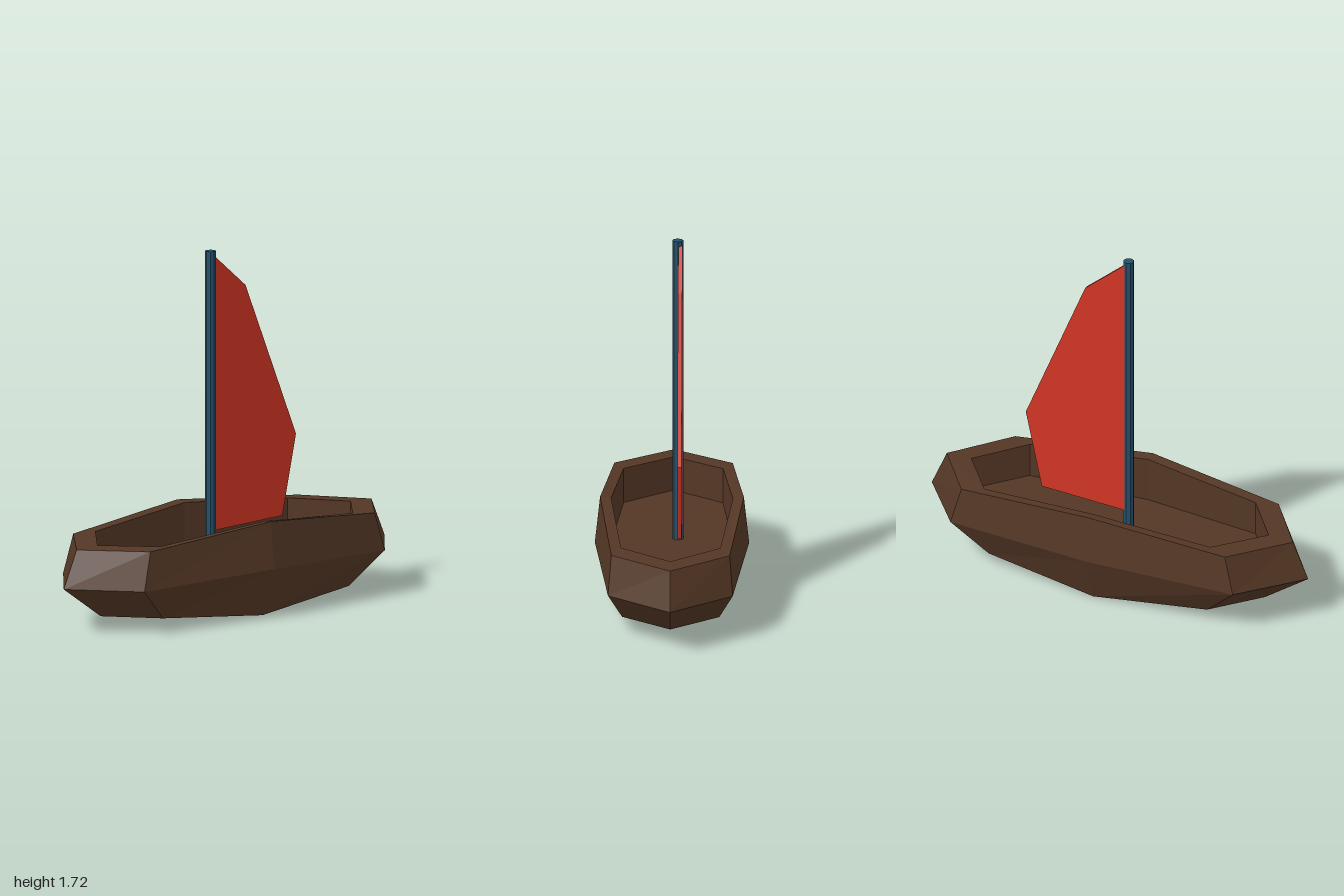
import * as THREE from 'three';

const wood = new THREE.MeshStandardMaterial({ name: 'brown wood', color: 0x543725, flatShading: true });
const cloth = new THREE.MeshStandardMaterial({ name: 'red cloth', color: 0xd03524, flatShading: true });
const pole = new THREE.MeshStandardMaterial({ name: 'blue paint', color: 0x22506b, flatShading: true });

// Eight-point boat outline, mirrored from a tip, a shoulder and a midship point
function ring([tx, ty], [cx, cy, cz], [my, mz]) {
  return [
    [tx, ty, 0], [cx, cy, cz], [0, my, mz], [-cx, cy, cz],
    [-tx, ty, 0], [-cx, cy, -cz], [0, my, -mz], [cx, cy, -cz],
  ];
}

function hullGeometry() {
  const rings = [
    ring([0.77, 0.06], [0.58, 0.06, 0.23], [0.005, 0.28]),    // keel
    ring([1.0, 0.22], [0.75, 0.22, 0.295], [0.24, 0.365]),    // widest line
    ring([0.92, 0.40], [0.70, 0.405, 0.28], [0.467, 0.34]),   // outer rim
    ring([0.79, 0.405], [0.60, 0.41, 0.235], [0.46, 0.288]),  // inner rim
    ring([0.79, 0.24], [0.60, 0.24, 0.235], [0.24, 0.288]),   // floor
  ];
  const pos = [];
  const tri = (a, b, c) => pos.push(...a, ...b, ...c);
  const quad = (a, b, c, d) => { tri(a, b, c); tri(a, c, d); };

  // Bands between neighbouring outlines
  for (let k = 0; k < rings.length - 1; k++) {
    const a = rings[k], b = rings[k + 1];
    for (let i = 0; i < 8; i++) {
      const j = (i + 1) % 8;
      quad(a[j], a[i], b[i], b[j]);
    }
  }
  // Underside and floor
  const f = rings[4], u = rings[0];
  for (const face of [[0, 7, 1], [7, 6, 2, 1], [6, 5, 3, 2], [5, 4, 3]]) {
    const fill = (p) => (p.length === 4 ? quad(...p) : tri(...p));
    fill(face.map((i) => f[i]));
    fill(face.map((i) => u[i]).reverse());
  }
  const g = new THREE.BufferGeometry();
  g.setAttribute('position', new THREE.Float32BufferAttribute(pos, 3));
  g.computeVertexNormals();
  return g;
}

export function createModel() {
  const group = new THREE.Group();
  group.name = 'sailboat';
  const add = (name, geometry, material) => {
    const mesh = new THREE.Mesh(geometry, material);
    mesh.name = name;
    group.add(mesh);
    return mesh;
  };

  add('hull', hullGeometry(), wood);

  // Mast standing on the floor
  const mast = add('mast', new THREE.CylinderGeometry(0.026, 0.026, 1.485, 8), pole);
  mast.position.set(-0.06, 0.24 + 1.485 / 2, -0.027);

  // Thin sail set slightly behind the mast's centre
  const outline = [[-0.05, 0.37], [0.39, 0.385], [0.475, 0.77], [0.16, 1.53], [-0.05, 1.71]];
  const shape = new THREE.Shape(outline.map(([x, y]) => new THREE.Vector2(x, y)));
  const sail = add('sail', new THREE.ExtrudeGeometry(shape, { depth: 0.02, bevelEnabled: false }), cloth);
  sail.position.z = -0.05;

  return group;
}
